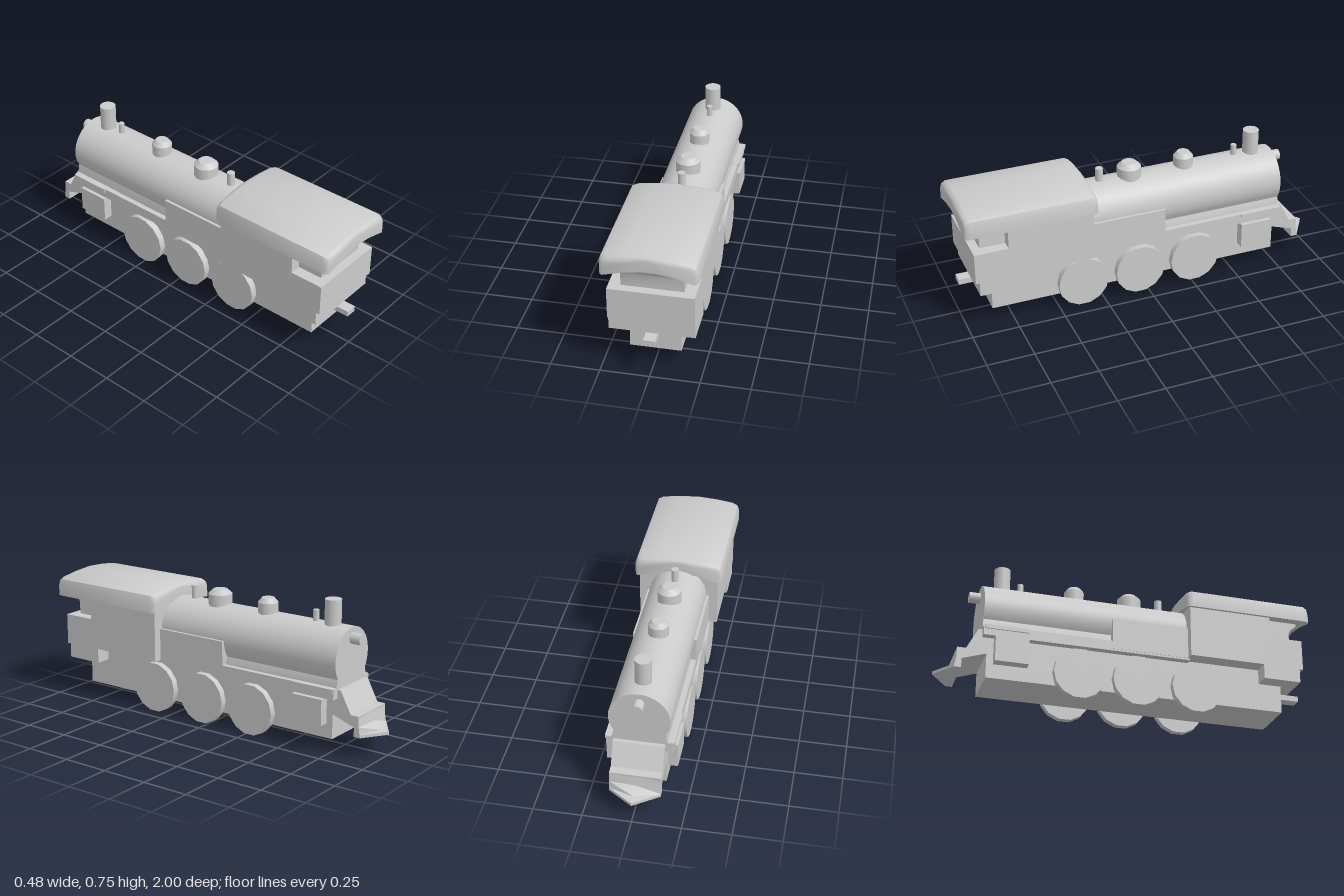
import * as THREE from 'three';
import { toCreasedNormals } from 'three/addons/utils/BufferGeometryUtils.js';

const material = new THREE.MeshStandardMaterial({ color: 0xcccccc });

// Skin a list of equal-length rings (counter-clockwise seen from the first one), capped by fans.
function loft(rings, crease) {
  const n = rings[0].length;
  const index = [];
  for (let r = 0; r < rings.length - 1; r++) {
    for (let j = 0; j < n; j++) {
      const a = r * n + j, b = r * n + (j + 1) % n;
      index.push(a, a + n, b + n, a, b + n, b);
    }
  }
  const last = (rings.length - 1) * n;
  for (let j = 1; j < n - 1; j++) {
    index.push(0, j, j + 1, last, last + j + 1, last + j);
  }
  const geometry = new THREE.BufferGeometry();
  geometry.setAttribute('position', new THREE.Float32BufferAttribute(rings.flat(2), 3));
  geometry.setIndex(index);
  return toCreasedNormals(geometry, crease);
}

// Extrude a side profile of [z, y] points across the width.
function sideProfile(points, halfWidth) {
  const shape = new THREE.Shape(points.map(([z, y]) => new THREE.Vector2(-z, y)));
  const geometry = new THREE.ExtrudeGeometry(shape, { depth: 2 * halfWidth, bevelEnabled: false });
  geometry.translate(0, 0, -halfWidth).rotateY(Math.PI / 2);
  return toCreasedNormals(geometry, 0.75);
}

// Box given by its limits on each axis.
function box(x0, x1, y0, y1, z0, z1) {
  return new THREE.BoxGeometry(x1 - x0, y1 - y0, z1 - z0)
    .translate((x0 + x1) / 2, (y0 + y1) / 2, (z0 + z1) / 2);
}

function boilerGeometry(z0, z1) {
  const shape = new THREE.Shape();
  shape.moveTo(-0.14, 0.32);
  shape.lineTo(0.14, 0.32);
  shape.lineTo(0.14, 0.345);
  shape.lineTo(0.128, 0.385);
  shape.absarc(0, 0.475, 0.155, -0.55, Math.PI + 0.55, false);
  shape.lineTo(-0.14, 0.345);
  const geometry = new THREE.ExtrudeGeometry(shape, { depth: z1 - z0, bevelEnabled: false, curveSegments: 20 });
  return toCreasedNormals(geometry.translate(0, 0, z0), 0.6);
}

function roofGeometry() {
  const half = [[0, 0.70], [0.11, 0.693], [0.205, 0.68], [0.23, 0.667], [0.24, 0.64],
    [0.24, 0.575], [0.115, 0.605], [0, 0.62]];
  const outline = [...half.map(([x, y]) => [-x, y]), ...half.slice(1, -1).reverse()];
  // z, width scale, drop of the upper edge
  const stations = [[1, 0.92, 0.025], [0.992, 0.97, 0.01], [0.97, 1, 0],
    [0.33, 1, 0], [0.308, 0.97, 0.01], [0.3, 0.92, 0.025]];
  return loft(stations.map(([z, s, drop]) =>
    outline.map(([x, y]) => [x * s, y > 0.63 ? y - drop : y, z])), 0.7);
}

function ploughGeometry() {
  // height, tip z, side z
  const levels = [[0.21, -0.9, -0.9], [0.165, -0.91, -0.902], [0.127, -0.95, -0.908],
    [0.126, -1, -0.91], [0.11, -1, -0.91]];
  return loft(levels.map(([y, tip, side]) =>
    [[0, y, tip], [-0.13, y, side], [-0.13, y, -0.875], [0.13, y, -0.875], [0.13, y, side]]), 0.5);
}

export function createModel() {
  const model = new THREE.Group();
  const add = (name, geometry, x = 0, y = 0, z = 0) => {
    const mesh = new THREE.Mesh(geometry, material);
    mesh.name = name;
    mesh.position.set(x, y, z);
    model.add(mesh);
    return mesh;
  };

  // Frame and boiler
  add('chassis', box(-0.13, 0.13, 0.07, 0.32, -0.75, 0.855));
  add('coupler', box(-0.03, 0.03, 0.19, 0.22, 0.84, 1));
  add('runningBoard', box(-0.168, 0.168, 0.29, 0.345, -0.775, 0.33));
  add('runningBoardTip', box(-0.175, 0.175, 0.325, 0.346, -0.77, -0.54));
  add('boiler', boilerGeometry(-0.775, 0.34));

  // Cab with the recessed rear and curved lintel
  add('cab', sideProfile([[0.32, 0.3], [0.73, 0.3], [0.73, 0.22], [0.935, 0.22], [0.935, 0.297],
    [0.955, 0.297], [0.955, 0.465], [0.775, 0.465], [0.775, 0.595], [0.32, 0.595]], 0.215));
  add('cabRear', sideProfile([[0.35, 0.45], [0.91, 0.45], [0.91, 0.53], [0.922, 0.555],
    [0.955, 0.582], [0.955, 0.63], [0.35, 0.63]], 0.155));
  add('cabRoof', roofGeometry());

  // Sloping front deck and plough
  add('frontDeck', sideProfile([[-0.74, 0.335], [-0.795, 0.335], [-0.855, 0.22], [-0.9, 0.22],
    [-0.9, 0.11], [-0.875, 0.11], [-0.875, 0.16], [-0.755, 0.2], [-0.74, 0.2]], 0.13));
  add('plough', ploughGeometry());

  // Parts on both sides
  for (const [side, s] of [['left', 1], ['right', -1]]) {
    add(side + 'SideTank', box(-0.03, 0.03, 0.3, 0.475, -0.095, 0.33), s * 0.14);
    add(side + 'PistonBox', box(-0.03, 0.03, 0.147, 0.285, -0.715, -0.54), s * 0.152);
    for (const z of [0.365, 0.045, -0.27]) {
      const wheel = new THREE.CylinderGeometry(0.138, 0.138, 0.036, 14).rotateZ(Math.PI / 2);
      add(side + 'Wheel', wheel, s * 0.155, 0.138, z);
      add(side + 'Axle', new THREE.CylinderGeometry(0.02, 0.02, 0.04, 8).rotateZ(Math.PI / 2), s * 0.135, 0.138, z);
    }
  }

  // Chimney and whistles: radius, top, z
  for (const [name, r, top, z] of [['chimney', 0.043, 0.757, -0.66],
    ['frontWhistle', 0.016, 0.686, -0.56], ['rearWhistle', 0.02, 0.7, 0.21]]) {
    add(name, new THREE.CylinderGeometry(r, r, top - 0.6, 20), 0, (top + 0.6) / 2, z);
  }

  // Steam domes with chamfered tops: radius, top radius, z
  for (const [name, r, t, z] of [['frontDome', 0.053, 0.033, -0.265], ['rearDome', 0.064, 0.038, 0.043]]) {
    const profile = [[r, 0.6], [r, 0.68], [t, 0.704], [0, 0.704]].map(([x, y]) => new THREE.Vector2(x, y));
    add(name, toCreasedNormals(new THREE.LatheGeometry(profile, 20), 0.5), 0, 0, z);
  }

  add('headlamp', new THREE.CylinderGeometry(0.029, 0.029, 0.08, 16).rotateX(Math.PI / 2), 0, 0.573, -0.792);

  return model;
}
